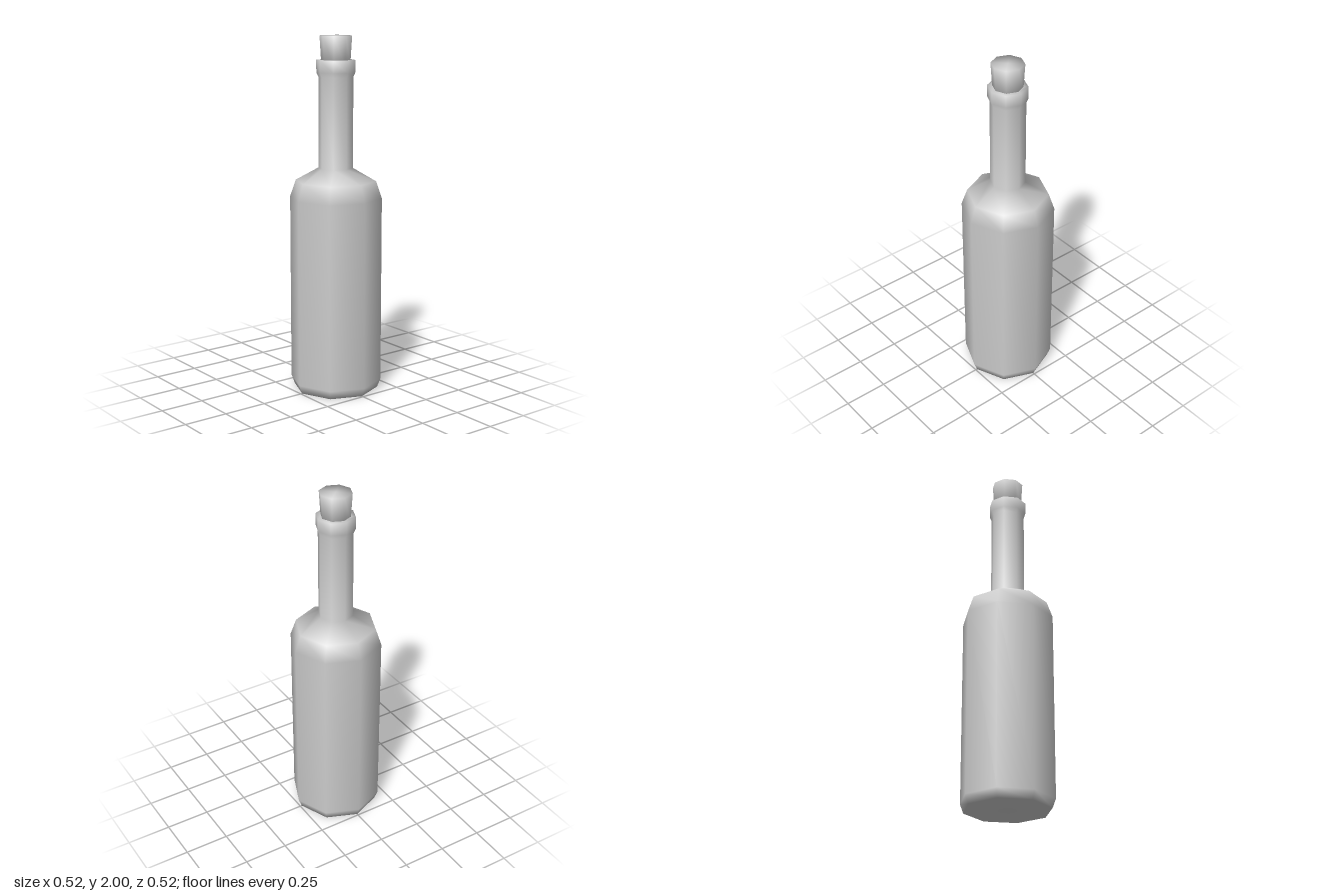
import * as THREE from 'three';

const SIDES = 8;

// Smooth-shaded octagonal part turned from [radius, height] points, bottom to top
function turned(name, profile, material) {
  const points = profile.map(([r, y]) => new THREE.Vector2(r, y));
  const mesh = new THREE.Mesh(new THREE.LatheGeometry(points, SIDES), material);
  mesh.name = name;
  return mesh;
}

export function createModel() {
  const group = new THREE.Group();
  group.name = 'corkedBottle';
  const material = new THREE.MeshStandardMaterial({ color: 0xcccccc });

  // Glass: chamfered base, straight body, sloped shoulder, neck and collar
  group.add(turned('bottle', [
    [0, 0], [0.24, 0],
    [0.259, 0.05], [0.259, 1.105],
    [0.226, 1.2], [0.097, 1.272],
    [0.097, 1.775], [0.108, 1.8],
    [0.108, 1.868], [0.075, 1.868],
  ], material));

  // Cork: widens slightly upwards, its foot sits inside the collar
  group.add(turned('cork', [
    [0, 1.84], [0.08, 1.84], [0.09, 2], [0, 2],
  ], material));

  return group;
}
